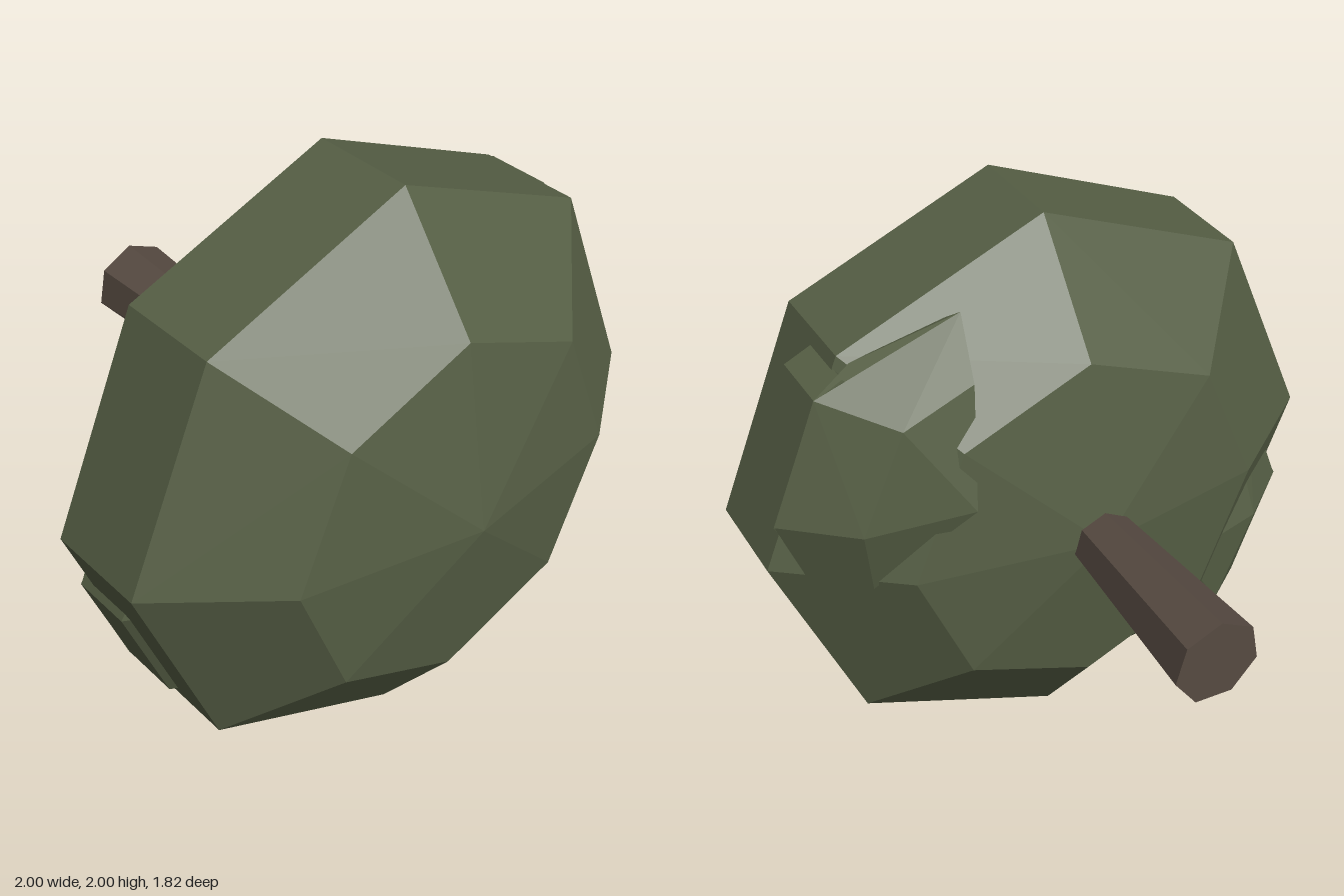
import * as THREE from 'three';
import { ConvexGeometry } from 'three/addons/geometries/ConvexGeometry.js';

const leaf = new THREE.MeshStandardMaterial({ color: 0x565f45, flatShading: true });
const bark = new THREE.MeshStandardMaterial({ color: 0x564a41, flatShading: true });

function part(name, geometry, material, parent) {
  const mesh = new THREE.Mesh(geometry, material);
  mesh.name = name;
  parent.add(mesh);
  return mesh;
}

const hull = (pts) => new ConvexGeometry(pts.map((p) => new THREE.Vector3(...p)));

// Point on the rim side facing 22.5 degrees: t along the side, r outward, z depth
function rimPoint(t, r, z) {
  const c = Math.cos(Math.PI / 8), s = Math.sin(Math.PI / 8);
  return [r * c - t * s, r * s + t * c, z];
}

// Raised clump wrapping from the rim onto the back slope
function createClump(name) {
  const clump = new THREE.Group();
  clump.name = name;

  // Bevelled pad on the rim
  const rim = [];
  for (const [inner, outer] of [[-0.174, -0.24], [0.268, 0.34]]) {
    rim.push(rimPoint(inner, 0.997, 0.06), rimPoint(inner, 0.997, 0.29));
    rim.push(rimPoint(outer, 0.92, 0.06), rimPoint(outer, 0.92, 0.3));
    rim.push(rimPoint(inner, 0.92, 0.36), rimPoint(inner, 0.8, 0.06));
  }
  part('rimPad', hull(rim), leaf, clump);

  // Wider pad on the back slope
  part('backPad', hull([
    [0.82, 0.63, 0.06], [0.985, 0.22, 0.06],
    [0.77, 0.22, -0.125], [0.62, 0.56, -0.125],
    [0.42, 0.24, -0.195], [0.36, 0.62, -0.08],
    [0.33, 0.79, 0.06], [0.42, 0.75, 0.11], [0.68, 0.69, 0.11],
    [0.84, -0.17, 0.06], [0.73, -0.03, -0.07],
    [0.4, 0.2, 0.06],
  ]), leaf, clump);
  return clump;
}

export function createModel() {
  const model = new THREE.Group();
  model.name = 'canopyWithTrunk';
  const tree = new THREE.Group();
  tree.name = 'tree';
  tree.position.y = 1;
  model.add(tree);

  // Eight-sided canopy, its axis along z
  const profile = [[0, -0.26], [0.62, -0.155], [1, 0.14], [1, 0.505], [0.62, 0.8], [0, 0.91]]
    .map(([r, z]) => new THREE.Vector2(r, z));
  part('canopy', new THREE.LatheGeometry(profile, 8).rotateX(Math.PI / 2), leaf, tree);

  // Seven-sided trunk, flaring toward its free end
  const trunk = new THREE.CylinderGeometry(0.105, 0.148, 0.69, 7, 1, false, Math.PI + 0.05);
  trunk.rotateX(Math.PI / 2).translate(0, 0, -0.565);
  part('trunk', trunk, bark, tree);

  // Large clump, and a half-sunk copy on the opposite side
  tree.add(createClump('upperClump'));
  const lower = createClump('lowerClump');
  lower.rotation.z = Math.PI;
  lower.scale.setScalar(0.95);
  lower.position.set(0.025, -0.055, 0.03);
  tree.add(lower);

  return model;
}
